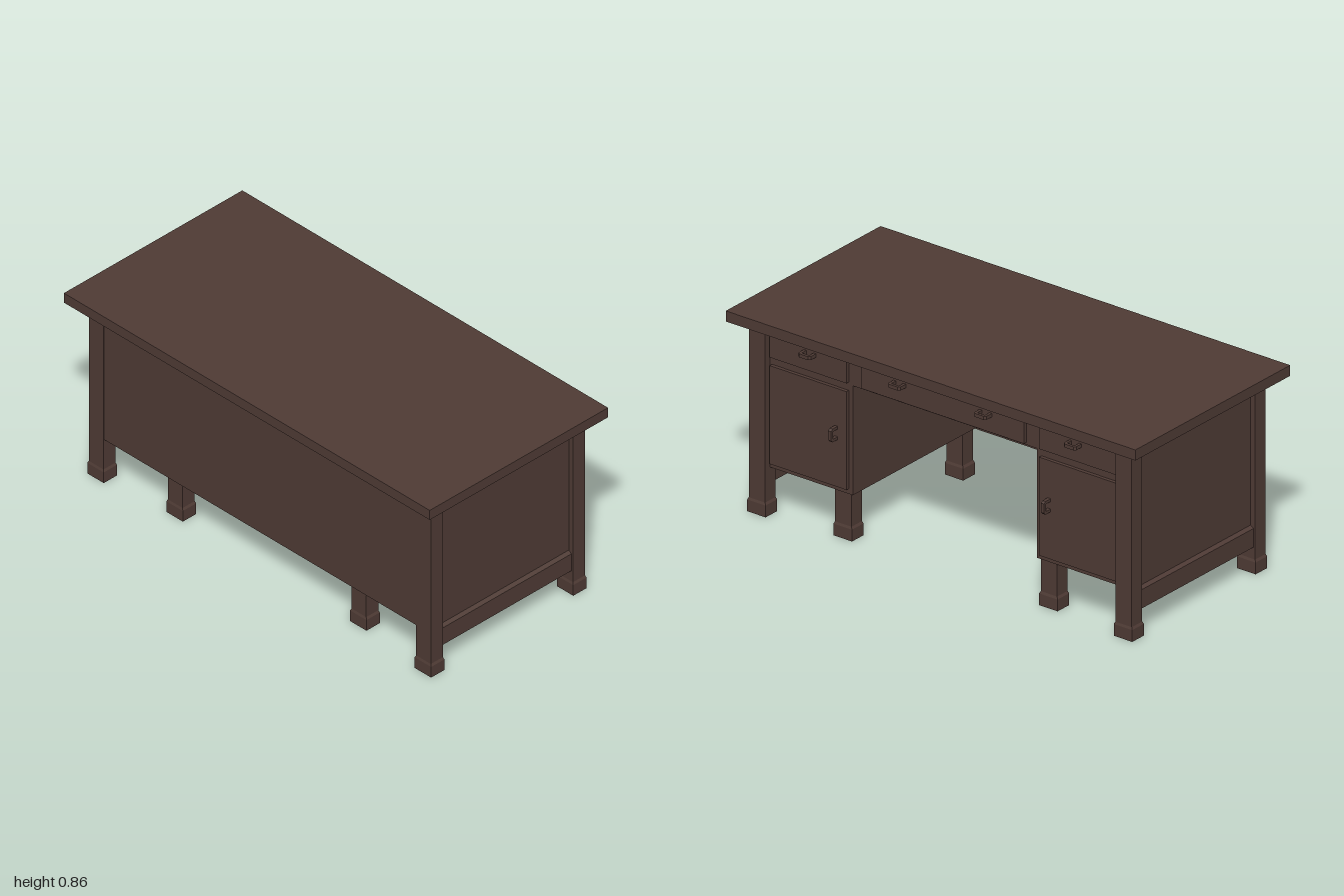
import * as THREE from 'three';

export function createModel() {
  const desk = new THREE.Group();
  desk.name = 'desk';
  const wood = new THREE.MeshStandardMaterial({ color: 0x4f3b35 });
  wood.name = 'darkWood';

  const add = (name, geometry) => {
    const mesh = new THREE.Mesh(geometry, wood);
    mesh.name = name;
    desk.add(mesh);
    return mesh;
  };

  // Box given by its limits on each axis
  const box = (name, x0, x1, y0, y1, z0, z1) => {
    const g = new THREE.BoxGeometry(x1 - x0, y1 - y0, z1 - z0);
    g.translate((x0 + x1) / 2, (y0 + y1) / 2, (z0 + z1) / 2);
    return add(name, g);
  };

  // Profile in the x-y plane, extruded along z
  const profile = (name, points, z0, z1) => {
    const shape = new THREE.Shape(points.map(([x, y]) => new THREE.Vector2(x, y)));
    const g = new THREE.ExtrudeGeometry(shape, { depth: z1 - z0, bevelEnabled: false });
    g.translate(0, 0, z0);
    return add(name, g);
  };

  // Straight leg on a wider foot whose shoulder tapers into the leg
  const legWidth = 0.065, legDepth = 0.08, footWidth = 0.072, footDepth = 0.09;
  const leg = (name, x, z, height) => {
    box(name, x - legWidth / 2, x + legWidth / 2, 0.04, height, z - legDepth / 2, z + legDepth / 2);
    box(name + 'Foot', x - footWidth / 2, x + footWidth / 2, 0, 0.05, z - footDepth / 2, z + footDepth / 2);
    const g = new THREE.BoxGeometry(footWidth, 0.01, footDepth);
    const p = g.attributes.position;
    for (let i = 0; i < p.count; i++) {
      if (p.getY(i) > 0) {
        p.setX(i, Math.sign(p.getX(i)) * legWidth / 2);
        p.setZ(i, Math.sign(p.getZ(i)) * legDepth / 2);
      }
    }
    g.computeVertexNormals();
    g.translate(x, 0.055, z);
    add(name + 'Shoulder', g);
  };

  // U-shaped pull with cut corners; lies along z, or stands upright
  const handle = (name, y, z, length, upright) => {
    const h = length / 2, c = 0.008, t = 0.012, out = 0.042;
    const points = [[0, -h], [out - c, -h], [out, -h + c], [out, h - c], [out - c, h], [0, h],
      [0, h - t], [out - t, h - t], [out - t, -h + t], [0, -h + t]];
    const mesh = profile(name, points, -0.0075, 0.0075);
    if (!upright) mesh.rotation.x = Math.PI / 2;
    mesh.position.set(0.403, y, z);
  };

  const frame = 0.39, face = 0.405, underTop = 0.81;

  box('desktop', -0.48, 0.48, underTop, 0.855, -1, 1);

  for (const s of [1, -1]) {
    const span = (name, x0, x1, y0, y1, a, b) =>
      box(name, x0, x1, y0, y1, Math.min(s * a, s * b), Math.max(s * a, s * b));

    // Pedestal with its recessed end panel
    span('pedestal', -0.385, frame, 0.2, underTop, 0.45, 0.912);

    // Bottom rail with a sloping top edge
    const rail = profile('endRail',
      [[0.885, 0.11], [0.927, 0.11], [0.927, 0.19], [0.91, 0.201], [0.885, 0.201]], -0.355, 0.345);
    rail.rotation.y = -s * Math.PI / 2;
    if (s < 0) rail.position.x = 0;
    else rail.position.x = 0;
    rail.position.x = s > 0 ? 0 : 0.01;

    // Drawer and door fronts
    span('sideDrawer', frame - 0.01, face, 0.675, underTop, 0.47, 0.845);
    span('door', frame - 0.01, face, 0.222, 0.64, 0.47, 0.845);
    handle('sideDrawerHandle', 0.75, s * 0.648, 0.06, false);
    handle('doorHandle', 0.452, s * 0.52, 0.056, true);
    handle('centreDrawerHandle', 0.75, s * 0.21, 0.06, false);

    // Corner legs rise to the top, inner legs stop below the pedestal
    leg('backCornerLeg', -0.3775, s * 0.895, underTop);
    leg('frontCornerLeg', 0.3875, s * 0.895, underTop);
    leg('backInnerLeg', -0.3385, s * 0.502, 0.205);
    leg('frontInnerLeg', 0.351, s * 0.502, 0.205);
  }

  // Wide drawer over the knee space
  box('centreDrawerCase', -0.385, frame, 0.665, underTop, -0.46, 0.46);
  box('centreDrawer', frame - 0.01, face, 0.675, underTop, -0.398, 0.398);

  // Back panel, thicker towards the bottom
  profile('backPanel',
    [[-0.407, 0.2], [-0.365, 0.2], [-0.39, 0.67], [-0.385, underTop], [-0.407, underTop]], -0.86, 0.86);

  return desk;
}
